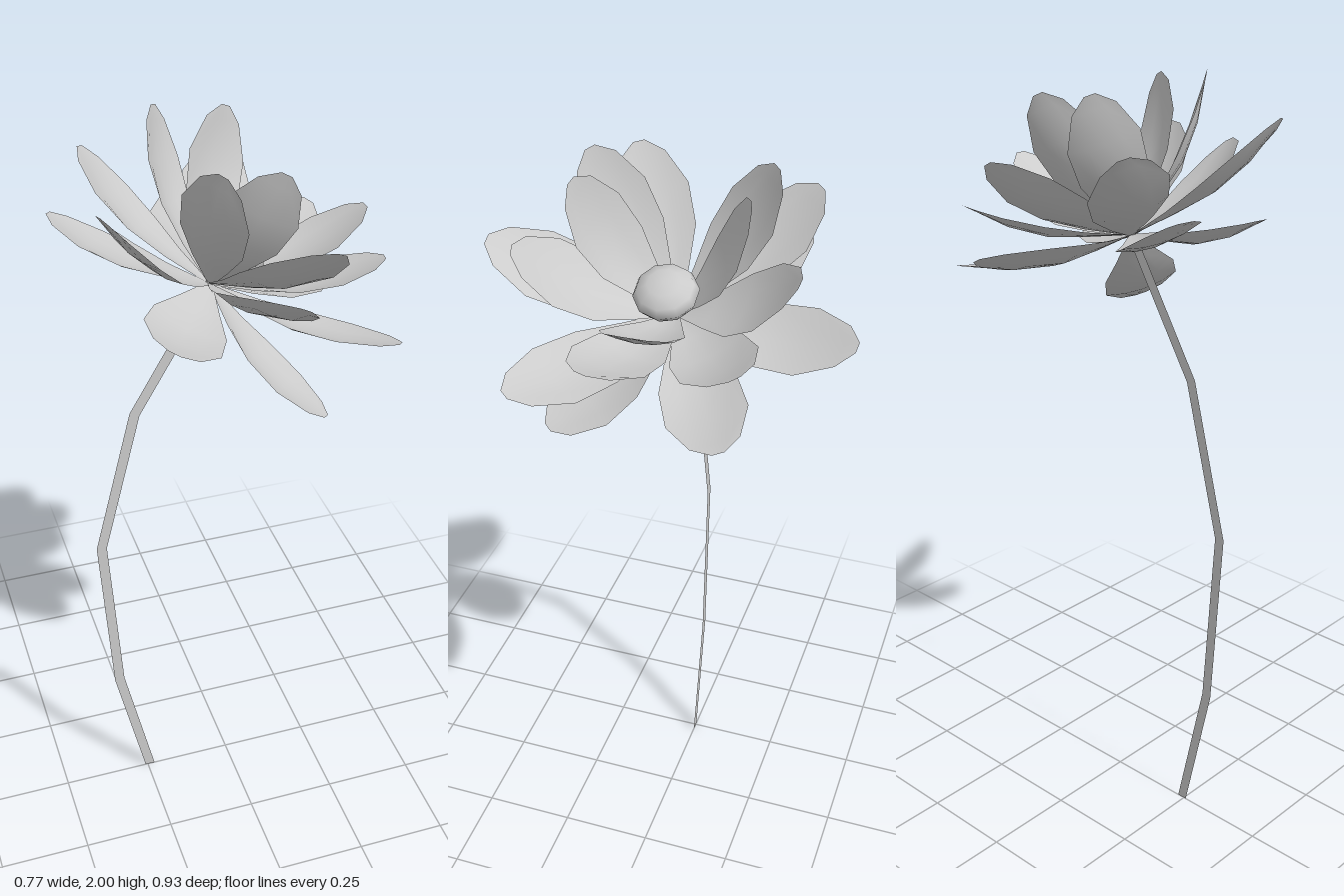
import * as THREE from 'three';

const material = new THREE.MeshStandardMaterial({ color: 0xcccccc, side: THREE.DoubleSide });
const BASE = new THREE.Vector3(-0.04, 1.62, 0);
const AXIS = new THREE.Vector3(0.45, 0.89, 0).normalize(); // the bloom leans towards +x

// Half-width along the petal: [position from base to tip, share of full half-width]
const OUTLINE = [[0, 0.08], [0.25, 0.55], [0.48, 0.95], [0.72, 1], [0.92, 0.6], [1, 0.15]];

// Cupped petal from the bloom's base to a tip, its inner face towards the axis
function petalGeometry(tip, halfWidth) {
  const along = tip.clone().sub(BASE);
  const across = along.clone().cross(AXIS).normalize();
  const inner = across.clone().cross(along).normalize();
  const columns = [-1, -0.5, 0, 0.5, 1];
  const positions = [], index = [];
  OUTLINE.forEach(([t, w], row) => {
    columns.forEach((u, col) => {
      const sag = -0.08 * t * (1 - t) - 0.022 * w * (1 - u * u) * Math.sin(Math.PI * t);
      const p = BASE.clone()
        .addScaledVector(along, t)
        .addScaledVector(across, u * w * halfWidth)
        .addScaledVector(inner, sag);
      positions.push(p.x, p.y, p.z);
      if (row > 0 && col > 0) {
        const d = row * columns.length + col, c = d - 1;
        const b = d - columns.length, a = b - 1;
        index.push(a, b, d, a, d, c);
      }
    });
  });
  const g = new THREE.BufferGeometry();
  g.setAttribute('position', new THREE.Float32BufferAttribute(positions, 3));
  g.setIndex(index);
  g.computeVertexNormals();
  return g;
}

// Flat ribbon following a path in the xy plane
function ribbonGeometry(path, halfWidth) {
  const left = [], right = [];
  path.forEach((p, i) => {
    const before = path[Math.max(i - 1, 0)], after = path[Math.min(i + 1, path.length - 1)];
    const dir = after.clone().sub(before).normalize();
    const side = new THREE.Vector2(-dir.y, dir.x).multiplyScalar(halfWidth);
    if (i === 0) side.set(-halfWidth, 0); // cut level with the ground
    left.push(p.clone().add(side));
    right.push(p.clone().sub(side));
  });
  return new THREE.ShapeGeometry(new THREE.Shape([...right, ...left.reverse()]));
}

// Petal tips by ring: [x, y, z]
const RINGS = {
  innerPetal: {
    halfWidth: 0.09,
    tips: [[-0.11, 2.0, -0.22], [-0.08, 2.0, 0.23], [0.07, 1.98, -0.21], [0.07, 1.98, 0.22], [0.36, 1.77, 0.0]],
  },
  middlePetal: {
    halfWidth: 0.1,
    tips: [[0.11, 1.83, -0.34], [0.16, 1.83, 0.34], [-0.34, 1.92, 0.2], [-0.28, 1.89, -0.29],
      [0.31, 1.68, -0.25], [0.38, 1.67, 0.09]],
  },
  outerPetal: {
    halfWidth: 0.1,
    tips: [[0.02, 1.64, -0.465], [0.03, 1.78, 0.465], [0.36, 1.51, -0.23], [0.34, 1.55, 0.3],
      [0.17, 1.36, 0.27], [-0.22, 1.63, 0.31], [-0.38, 1.75, -0.24]],
  },
};

export function createModel() {
  const model = new THREE.Group();
  model.name = 'flower';
  const add = (name, geometry, parent = model) => {
    const mesh = new THREE.Mesh(geometry, material);
    mesh.name = name;
    parent.add(mesh);
    return mesh;
  };

  // Bent stem
  const path = [[-0.243, 0], [-0.322, 0.38], [-0.35, 0.87], [-0.243, 1.28], [-0.045, 1.61], [0.0, 1.68]];
  add('stem', ribbonGeometry(path.map(([x, y]) => new THREE.Vector2(x, y)), 0.014));

  // Three rings of petals
  for (const [name, { halfWidth, tips }] of Object.entries(RINGS)) {
    const ring = new THREE.Group();
    ring.name = name + 's';
    model.add(ring);
    tips.forEach((t) => add(name, petalGeometry(new THREE.Vector3(...t), halfWidth), ring));
  }

  // Flattened seed head at the heart of the bloom
  const head = add('seedHead', new THREE.SphereGeometry(1, 10, 6));
  head.scale.set(0.08, 0.045, 0.082);
  head.position.set(0.02, 1.705, 0.007);
  head.quaternion.setFromUnitVectors(new THREE.Vector3(0, 1, 0), AXIS);

  return model;
}
